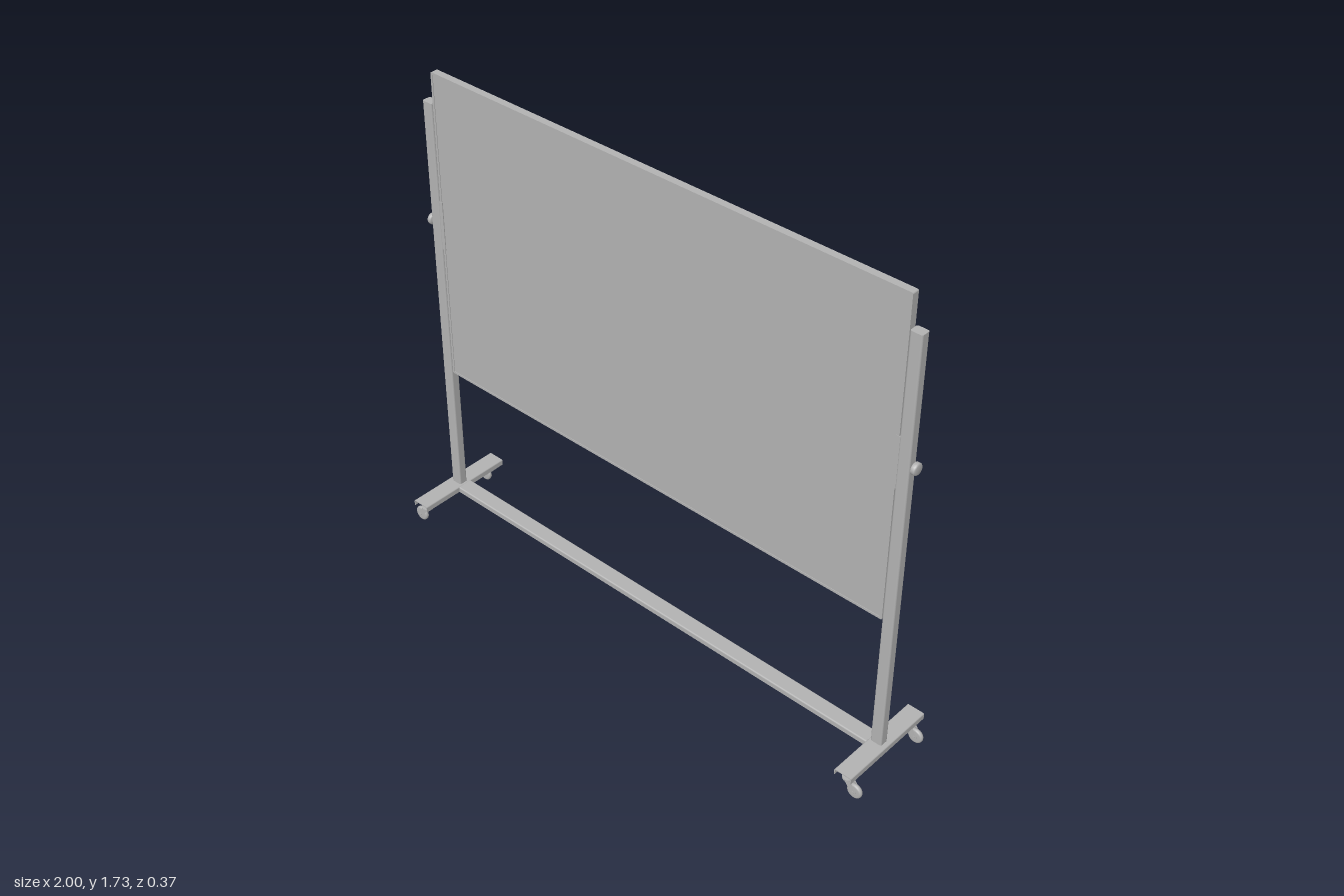
import * as THREE from 'three';

const grey = new THREE.MeshStandardMaterial({ color: 0xb2b2b2 });
grey.name = 'grey metal';

function add(parent, name, geometry, x = 0, y = 0, z = 0) {
  const mesh = new THREE.Mesh(geometry, grey);
  mesh.name = name;
  mesh.position.set(x, y, z);
  parent.add(mesh);
  return mesh;
}

const box = (w, h, d) => new THREE.BoxGeometry(w, h, d);

// Rectangle with rounded corners, centred on the origin
function roundedRect(w, h, r) {
  const s = new THREE.Shape();
  const x = w / 2, y = h / 2;
  s.absarc(x - r, y - r, r, 0, Math.PI / 2);
  s.absarc(-x + r, y - r, r, Math.PI / 2, Math.PI);
  s.absarc(-x + r, -y + r, r, Math.PI, Math.PI * 1.5);
  s.absarc(x - r, -y + r, r, Math.PI * 1.5, Math.PI * 2);
  s.closePath();
  return s;
}

// Extrusion along z, centred on its length
function extrude(shape, length) {
  return new THREE.ExtrudeGeometry(shape, { depth: length, bevelEnabled: false, curveSegments: 6 })
    .translate(0, 0, -length / 2);
}

// Channel open at the bottom, with rounded top edges
function channel(w, h, length, t) {
  const s = new THREE.Shape();
  const x = w / 2, y = h / 2, r = 0.005;
  s.moveTo(x, -y);
  s.lineTo(x, y - r);
  s.absarc(x - r, y - r, r, 0, Math.PI / 2);
  s.absarc(-x + r, y - r, r, Math.PI / 2, Math.PI);
  s.lineTo(-x, -y);
  s.lineTo(-x + t, -y);
  s.lineTo(-x + t, y - t);
  s.lineTo(x - t, y - t);
  s.lineTo(x - t, -y);
  s.closePath();
  return extrude(s, length);
}

// Swivel caster whose wheel trails towards +x
function makeCaster() {
  const caster = new THREE.Group();
  caster.name = 'caster';
  add(caster, 'casterStem', new THREE.CylinderGeometry(0.007, 0.007, 0.035, 16), 0, 0.08, 0);
  add(caster, 'swivelPlate', new THREE.CylinderGeometry(0.019, 0.019, 0.006, 24), 0, 0.067, 0);

  // Wheel with a rounded tread
  const profile = [[0, -0.008], [0.021, -0.008], [0.025, -0.006], [0.027, -0.002],
    [0.027, 0.002], [0.025, 0.006], [0.021, 0.008], [0, 0.008]]
    .map(([r, y]) => new THREE.Vector2(r, y));
  add(caster, 'wheel', new THREE.LatheGeometry(profile, 28).rotateX(Math.PI / 2), 0.028, 0.027, 0);
  add(caster, 'axle', new THREE.CylinderGeometry(0.005, 0.005, 0.025, 12).rotateX(Math.PI / 2), 0.028, 0.027, 0);

  // Fork cheeks and the crown joining them
  const cheek = new THREE.Shape();
  cheek.moveTo(-0.013, 0.064);
  cheek.lineTo(0.015, 0.064);
  cheek.lineTo(0.036, 0.031);
  cheek.absarc(0.028, 0.027, 0.009, 0.4, -Math.PI * 0.75, true);
  cheek.closePath();
  for (const side of [-1, 1]) add(caster, 'forkCheek', extrude(cheek, 0.002), 0, 0, side * 0.01);
  add(caster, 'forkCrown', box(0.028, 0.006, 0.022), 0.001, 0.061, 0);
  return caster;
}

// One upright with its foot, pivot and casters, on the +x side
function makeStand() {
  const stand = new THREE.Group();
  add(stand, 'post', extrude(roundedRect(0.041, 0.033, 0.006), 1.52).rotateX(-Math.PI / 2), 0.9395, 0.86, 0);
  add(stand, 'foot', channel(0.064, 0.022, 0.37, 0.003), 0.944, 0.091, 0);
  add(stand, 'pivotBracket', box(0.022, 0.18, 0.027), 0.917, 1.18, 0);

  // Clamp knob with softened rims
  const knob = [[0, 0], [0.008, 0], [0.008, 0.005], [0.016, 0.005], [0.02, 0.008],
    [0.02, 0.019], [0.016, 0.023], [0, 0.023]].map(([r, y]) => new THREE.Vector2(r, y));
  add(stand, 'knob', new THREE.LatheGeometry(knob, 24).rotateZ(-Math.PI / 2), 0.958, 1.18, 0);

  for (const z of [-0.155, 0.155]) {
    const caster = makeCaster();
    caster.position.set(0.945, 0, z);
    stand.add(caster);
  }
  return stand;
}

export function createModel() {
  const model = new THREE.Group();
  model.name = 'mobileBoard';

  // Board panel in a slim frame
  const board = new THREE.Group();
  board.name = 'board';
  add(board, 'panel', box(1.816, 1.12, 0.021));
  const frame = roundedRect(1.832, 1.136, 0.005);
  frame.holes.push(roundedRect(1.816, 1.12, 0.001));
  add(board, 'frame', extrude(frame, 0.025));
  board.position.y = 1.163;
  model.add(board);

  // Uprights, the second turned about to the other side
  for (const [name, turn] of [['leftStand', 0], ['rightStand', Math.PI]]) {
    const stand = makeStand();
    stand.name = name;
    stand.rotation.y = turn;
    model.add(stand);
  }

  // Lower cross rail between the feet
  add(model, 'crossRail', channel(0.058, 0.02, 1.826, 0.003).rotateY(Math.PI / 2), 0, 0.09, 0);
  return model;
}
